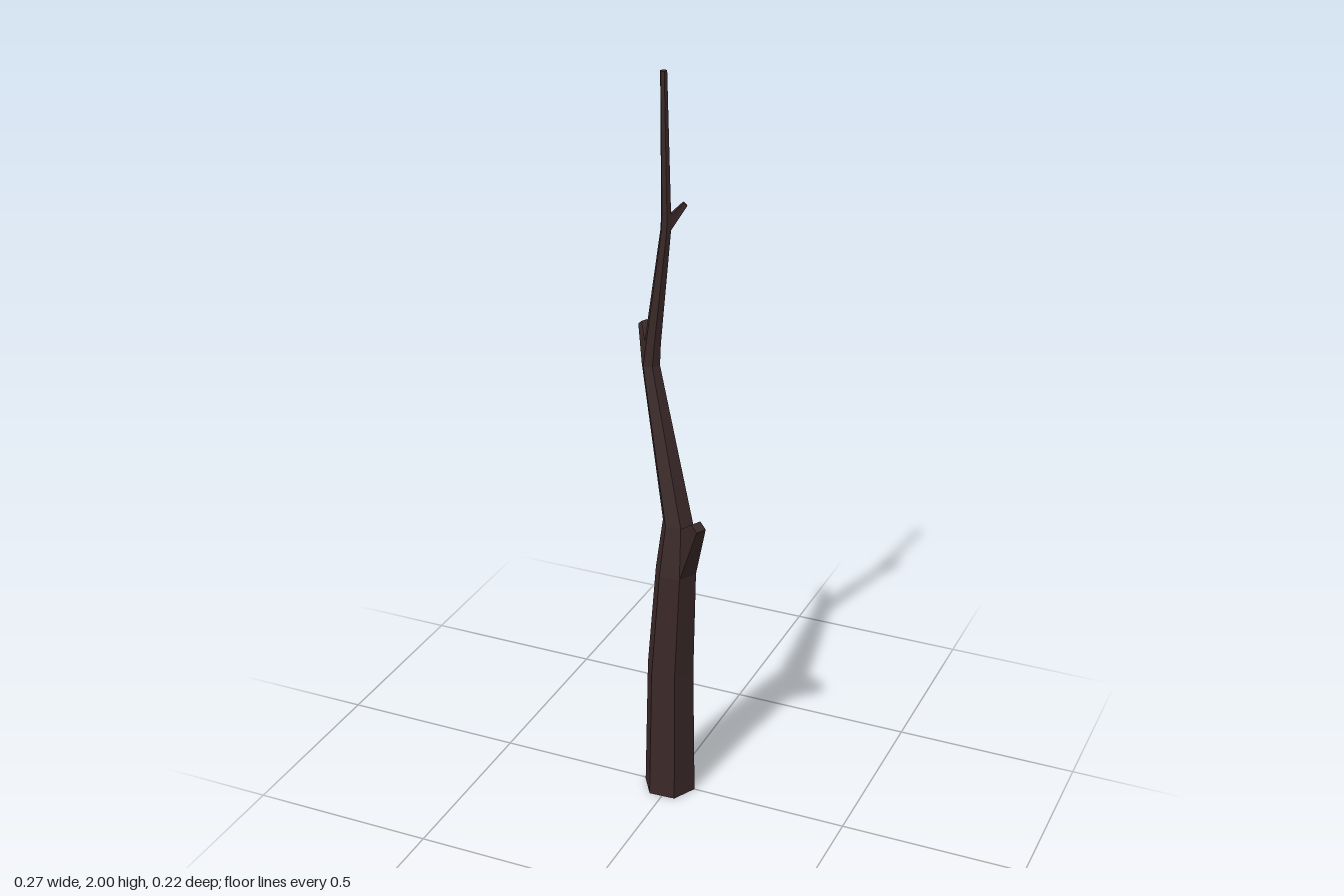
import * as THREE from 'three';

const SIDES = 6;
const TURN = -0.05;

// Skin a list of loops (equal point counts) and close both ends, with flat faces.
function skin(loops) {
  const pos = [];
  const tri = (...pts) => pts.forEach((p) => pos.push(p.x, p.y, p.z));
  const centre = (loop) =>
    loop.reduce((s, p) => s.add(p), new THREE.Vector3()).divideScalar(loop.length);
  const n = loops[0].length;
  const first = loops[0];
  const last = loops[loops.length - 1];
  const c0 = centre(first);
  const c1 = centre(last);
  for (let i = 0; i < n; i++) {
    const j = (i + 1) % n;
    for (let k = 0; k < loops.length - 1; k++) {
      const a = loops[k];
      const b = loops[k + 1];
      tri(a[i], b[i], b[j]);
      tri(a[i], b[j], a[j]);
    }
    tri(c0, first[i], first[j]);
    tri(c1, last[j], last[i]);
  }
  const geo = new THREE.BufferGeometry();
  geo.setAttribute('position', new THREE.Float32BufferAttribute(pos, 3));
  geo.computeVertexNormals();
  return geo;
}

export function createModel() {
  const group = new THREE.Group();
  group.name = 'bareTree';
  const bark = new THREE.MeshStandardMaterial({ color: 0x3a2828 });
  bark.name = 'dark bark';
  bark.flatShading = true;

  const add = (name, geo) => {
    const mesh = new THREE.Mesh(geo, bark);
    mesh.name = name;
    group.add(mesh);
  };

  // Trunk stations: height, centre x, centre z, radius
  const rings = [
    [0, -0.003, 0.003, 0.072],
    [0.38, 0, 0.006, 0.065],
    [0.68, 0.017, 0.01, 0.056],
    [0.82, 0.02, 0.003, 0.042],
    [1.23, -0.077, -0.045, 0.025],
    [1.29, -0.071, -0.044, 0.022],
    [1.6, -0.032, -0.038, 0.014],
    [1.64, -0.031, -0.038, 0.013],
    [2, -0.037, -0.038, 0.009],
  ].map(([y, x, z, r]) =>
    Array.from({ length: SIDES }, (_, i) => {
      const a = TURN + (i / SIDES) * Math.PI * 2;
      return new THREE.Vector3(x + r * Math.cos(a), y, z + r * Math.sin(a));
    })
  );
  add('trunk', skin(rings));

  // Four-sided stubs growing out of one trunk face: lower ring, face, tip, half sizes
  const branch = (name, ring, face, tip, w, h) => {
    const j = (face + 1) % SIDES;
    const base = [rings[ring][face], rings[ring][j], rings[ring + 1][j], rings[ring + 1][face]];
    const mid = base.reduce((s, p) => s.add(p), new THREE.Vector3()).divideScalar(4);
    const end = new THREE.Vector3(...tip);
    const side = base[1].clone().sub(base[0]).normalize();
    const up = side.clone().cross(end.clone().sub(mid)).normalize();
    const cap = [[-1, -1], [1, -1], [1, 1], [-1, 1]].map(([s, t]) =>
      end.clone().addScaledVector(side, s * w).addScaledVector(up, t * h)
    );
    add(name, skin([base, cap]));
  };
  branch('lowerBranch', 2, 0, [0.115, 0.867, 0.092], 0.015, 0.013);
  branch('middleBranch', 4, 3, [-0.124, 1.318, -0.1], 0.009, 0.009);
  branch('upperTwig', 6, 5, [0.004, 1.66, -0.076], 0.005, 0.006);

  return group;
}
